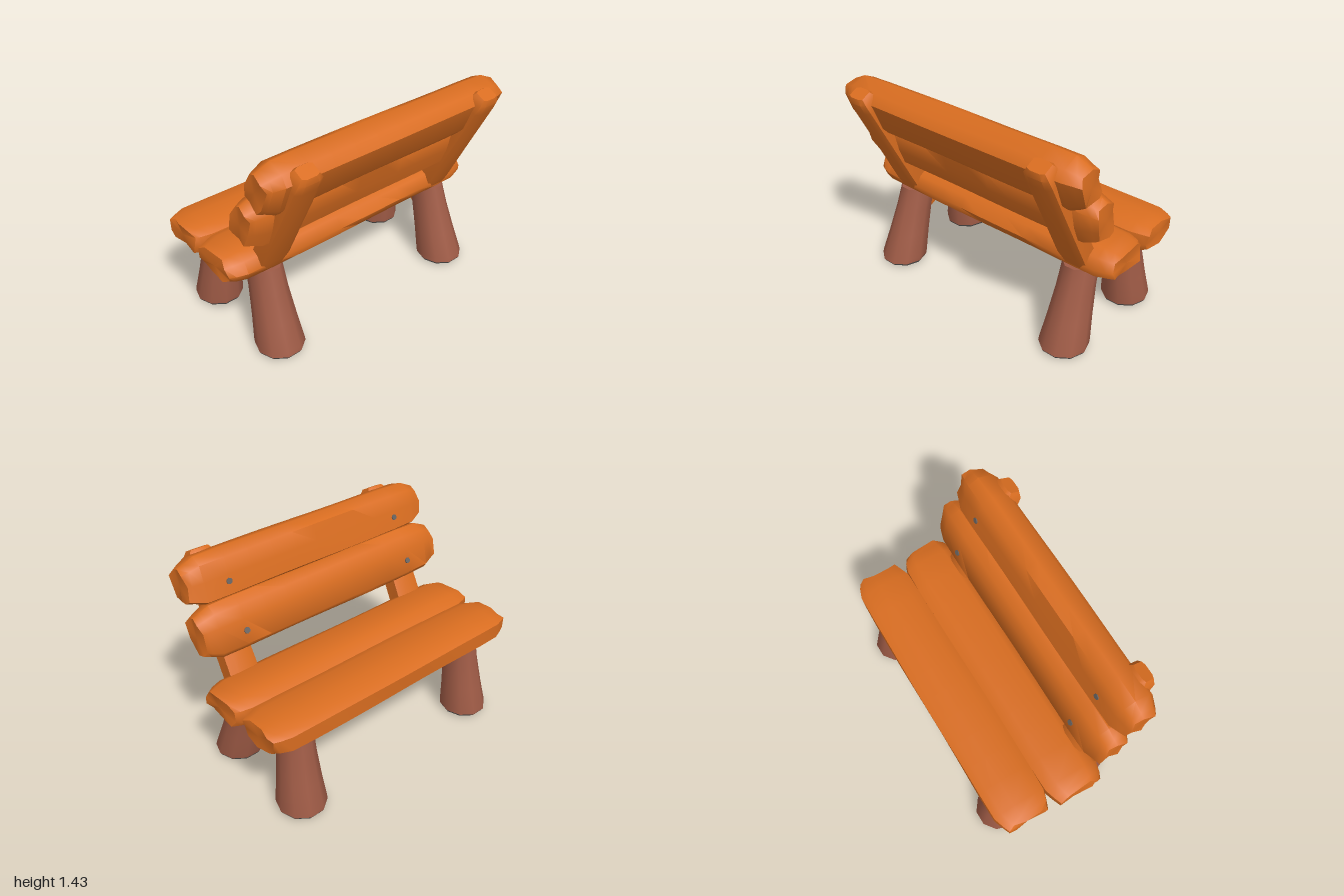
import * as THREE from 'three';
import { toCreasedNormals } from 'three/addons/utils/BufferGeometryUtils.js';

const material = (name, color) => {
  const m = new THREE.MeshStandardMaterial({ color });
  m.name = name;
  return m;
};

// Skin a list of closed rings (counter-clockwise seen from the last ring) and cap both ends
function loft(rings, crease = 0.75) {
  const n = rings[0].length;
  const pos = [], idx = [];
  rings.forEach(r => r.forEach(p => pos.push(p.x, p.y, p.z)));
  for (let k = 0; k < rings.length - 1; k++) {
    for (let i = 0; i < n; i++) {
      const j = (i + 1) % n;
      const a = k * n + i, b = k * n + j, c = a + n, d = b + n;
      idx.push(a, b, d, a, d, c);
    }
  }
  [0, rings.length - 1].forEach((k, end) => {
    const c = new THREE.Vector3();
    rings[k].forEach(p => c.addScaledVector(p, 1 / n));
    const ci = pos.length / 3;
    pos.push(c.x, c.y, c.z);
    for (let i = 0; i < n; i++) {
      const a = k * n + i, b = k * n + (i + 1) % n;
      if (end) idx.push(ci, a, b);
      else idx.push(ci, b, a);
    }
  });
  const g = new THREE.BufferGeometry();
  g.setAttribute('position', new THREE.Float32BufferAttribute(pos, 3));
  g.setIndex(idx);
  return toCreasedNormals(g, crease);
}

// Rough-hewn plank along z: rounded ends and a slight wobble along the length
function plankGeometry(profile, z0, z1, seed, endScale) {
  const cx = profile.reduce((s, p) => s + p[0], 0) / profile.length;
  const cy = profile.reduce((s, p) => s + p[1], 0) / profile.length;
  const stations = [[0, endScale], [0.02, endScale + 0.1], [0.055, 0.98]];
  for (let i = 1; i < 10; i++) stations.push([0.055 + 0.089 * i, 1]);
  stations.push([0.945, 0.98], [0.98, endScale + 0.1], [1, endScale]);
  return loft(stations.map(([t, s]) => {
    const z = z0 + (z1 - z0) * t;
    return profile.map(([x, y], i) => {
      const w = s * (1 - 0.025 * (1 + Math.sin(z * 5 + i * 1.9 + seed)) / 2);
      const skew = (t === 0 || t === 1) ? 0.012 * Math.sin(i * 2.1 + seed) : 0;
      return new THREE.Vector3(cx + (x - cx) * w, cy + (y - cy) * w, z + skew);
    });
  }), 0.85);
}

// Leg levels: [x, y, z, radius x, radius z]
function legGeometry(levels) {
  const n = 10;
  return loft(levels.map(([x, y, z, rx, rz]) => Array.from({ length: n }, (_, i) => {
    const a = (i + 0.5) / n * Math.PI * 2;
    return new THREE.Vector3(x + Math.cos(a) * rx * 1.04, y, z - Math.sin(a) * rz * 1.04);
  })));
}

export function createModel() {
  const wood = material('orange wood', 0xd96d20);
  const bark = material('reddish brown wood', 0x9f5b46);
  const grey = material('grey', 0x686462);
  const model = new THREE.Group();
  model.name = 'bench';
  const add = (name, geometry, mat) => {
    const mesh = new THREE.Mesh(geometry, mat);
    mesh.name = name;
    model.add(mesh);
    return mesh;
  };

  // Seat planks, the sitter faces -x
  add('frontSeatPlank', plankGeometry([
    [-0.55, 0.585], [-0.49, 0.545], [-0.36, 0.537], [-0.2, 0.537], [-0.17, 0.6],
    [-0.18, 0.685], [-0.25, 0.72], [-0.4, 0.725], [-0.5, 0.715], [-0.553, 0.69],
  ], -0.98, 0.98, 0.4, 0.75), wood);
  add('rearSeatPlank', plankGeometry([
    [-0.19, 0.59], [-0.16, 0.545], [-0.02, 0.535], [0.14, 0.537], [0.195, 0.56],
    [0.213, 0.61], [0.175, 0.68], [0.11, 0.72], [-0.11, 0.722], [-0.185, 0.68],
  ], -0.995, 0.995, 2.1, 0.77), wood);

  // Backrest slats
  const lower = [
    [0.105, 0.9], [0.13, 0.86], [0.2, 0.842], [0.3, 0.838], [0.34, 0.94], [0.375, 1.08],
    [0.34, 1.135], [0.25, 1.172], [0.18, 1.14], [0.14, 1.06],
  ];
  const upper = [
    [0.248, 1.18], [0.29, 1.145], [0.42, 1.1], [0.46, 1.14], [0.535, 1.325],
    [0.495, 1.39], [0.39, 1.432], [0.315, 1.4], [0.28, 1.3],
  ];
  add('lowerBackSlat', plankGeometry(lower, -0.97, 0.94, 1.2, 0.72), wood);
  add('upperBackSlat', plankGeometry(upper, -0.955, 0.925, 3.3, 0.7), wood);

  // Leaning posts: [distance along the lean, half thickness, half width]
  const dir = new THREE.Vector3(0.46, 0.888, 0).normalize();
  const across = new THREE.Vector3(dir.y, -dir.x, 0);
  const section = [[1, 0.55], [0.75, 1], [-0.75, 1], [-1, 0.55], [-1, -0.55], [-0.75, -1], [0.75, -1], [1, -0.55]];
  const spans = [[-0.27, 0.03, 0.06], [-0.1, 0.06, 0.085], [0.05, 0.07, 0.1], [0.4, 0.068, 0.095], [0.75, 0.067, 0.092], [0.82, 0.064, 0.085], [0.855, 0.045, 0.06]];
  [0.695, -0.73].forEach((z, k) => {
    const rings = spans.map(([t, h, w]) => section.map(([u, v]) =>
      new THREE.Vector3(0.15, 0.625, z)
        .addScaledVector(dir, t).addScaledVector(across, u * h)
        .add(new THREE.Vector3(0, 0, -v * w))));
    add(k ? 'rightPost' : 'leftPost', loft(rings, 0.6), wood);
  });

  // Flared legs with grey undersides
  const legs = [
    ['frontLeftLeg', -0.425, -0.355, 0.73, 0.71, 0.158, 0.117],
    ['frontRightLeg', -0.425, -0.355, -0.745, -0.725, 0.158, 0.117],
    ['rearLeftLeg', 0.258, 0.095, 0.725, 0.705, 0.155, 0.125],
    ['rearRightLeg', 0.258, 0.095, -0.74, -0.725, 0.155, 0.125],
  ];
  legs.forEach(([name, x0, x1, z0, z1, r0, r1]) => {
    const mix = (a, b, t) => a + (b - a) * t;
    const level = (t, swell) => [mix(x0, x1, t), 0.025 + 0.535 * t, mix(z0, z1, t),
      mix(r0, r1, t) * swell, mix(0.152, 0.104, t) * swell];
    add(name, legGeometry([level(0, 1), level(0.05, 1.01), level(0.35, 0.97), level(0.7, 0.95), level(1, 1)]), bark);
    add(name + 'Foot', legGeometry([
      [x0, 0, z0, r0 * 0.86, 0.13], [x0, 0.008, z0, r0 * 0.93, 0.142], [x0, 0.025, z0, r0, 0.152],
    ]), grey);
  });

  // Nail heads on the front of each slat
  [[0.121, 0.985, -0.909, 0.416], [0.269, 1.26, -0.966, 0.258]].forEach(([x, y, nx, ny]) => {
    [0.655, -0.69].forEach(z => {
      const nail = add('nailHead', new THREE.CylinderGeometry(0.02, 0.02, 0.009, 8), grey);
      nail.position.set(x, y, z);
      nail.quaternion.setFromUnitVectors(new THREE.Vector3(0, 1, 0), new THREE.Vector3(nx, ny, 0).normalize());
    });
  });

  return model;
}
